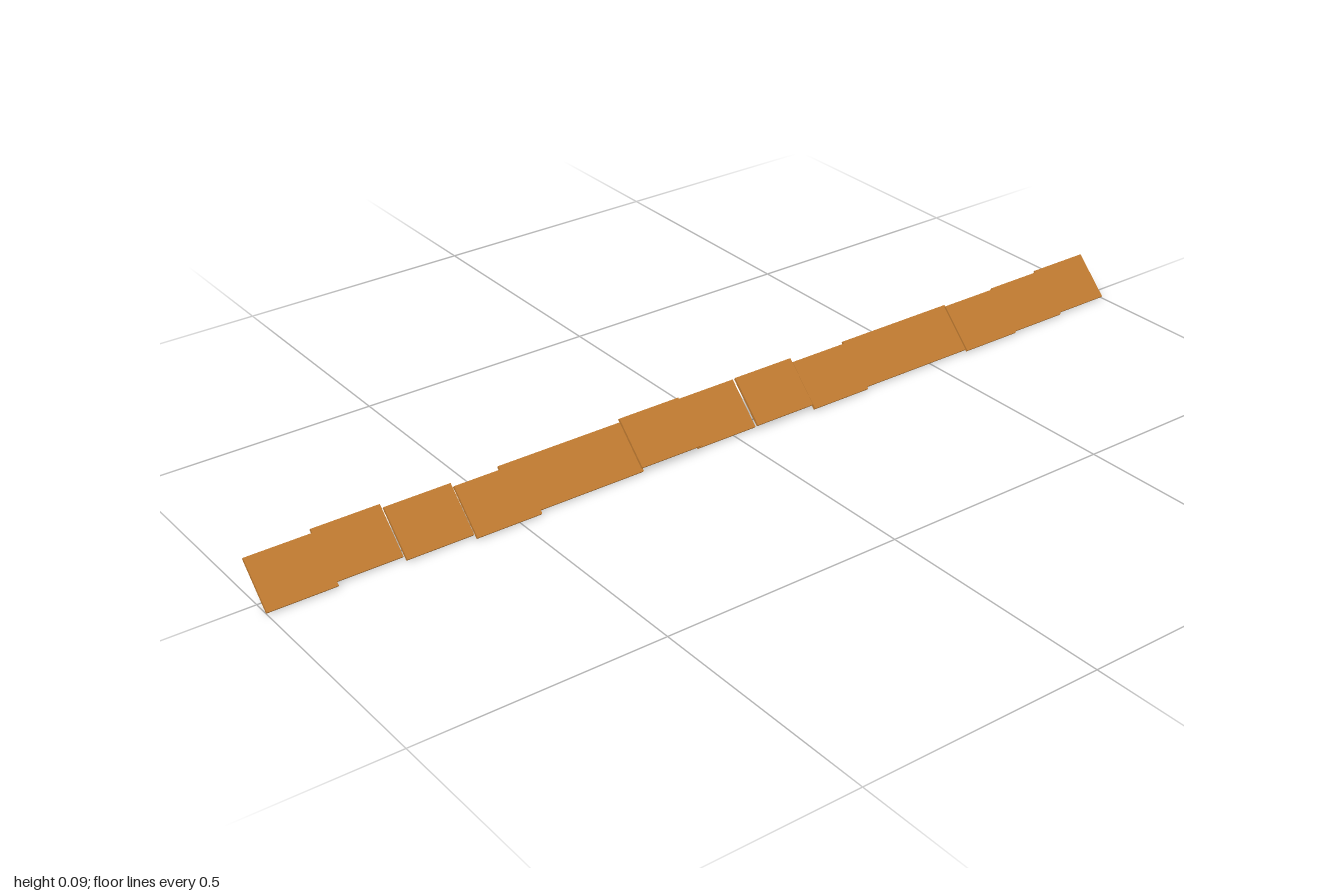
import * as THREE from 'three';

export function createModel() {
  const group = new THREE.Group();
  group.name = 'tiltedSlatRow';
  const wood = new THREE.MeshStandardMaterial({ color: 0xbf7a30 });
  wood.name = 'warm wood';

  // Every slat is the same thin plate, leaning at 45 degrees
  const WIDTH = 0.103, THICK = 0.006, LENGTH = 0.137;
  const plate = new THREE.BoxGeometry(WIDTH, THICK, LENGTH);
  const baseY = (WIDTH + THICK) * Math.SQRT1_2 / 2;

  // Loose placement of each slat: [centre z, sideways shift, lift]
  const slats = [
    [-0.9315, -0.006, 0], [-0.8, 0.001, 0], [-0.664, 0.006, 0],
    [-0.53, 0, 0], [-0.393, 0, 0], [-0.257, 0.008, 0],
    [-0.12, 0.001, 0.006], [0.018, -0.006, 0], [0.154, 0.001, 0.008],
    [0.288, 0.001, 0], [0.422, 0.001, 0], [0.523, 0.0135, 0],
    [0.659, 0, 0], [0.796, -0.0135, 0], [0.9315, 0, 0],
  ];
  slats.forEach(([z, x, lift], i) => {
    const slat = new THREE.Mesh(plate, wood);
    slat.name = `slat${i + 1}`;
    slat.position.set(x, baseY + lift, z);
    slat.rotation.z = -Math.PI / 4;
    group.add(slat);
  });
  return group;
}
